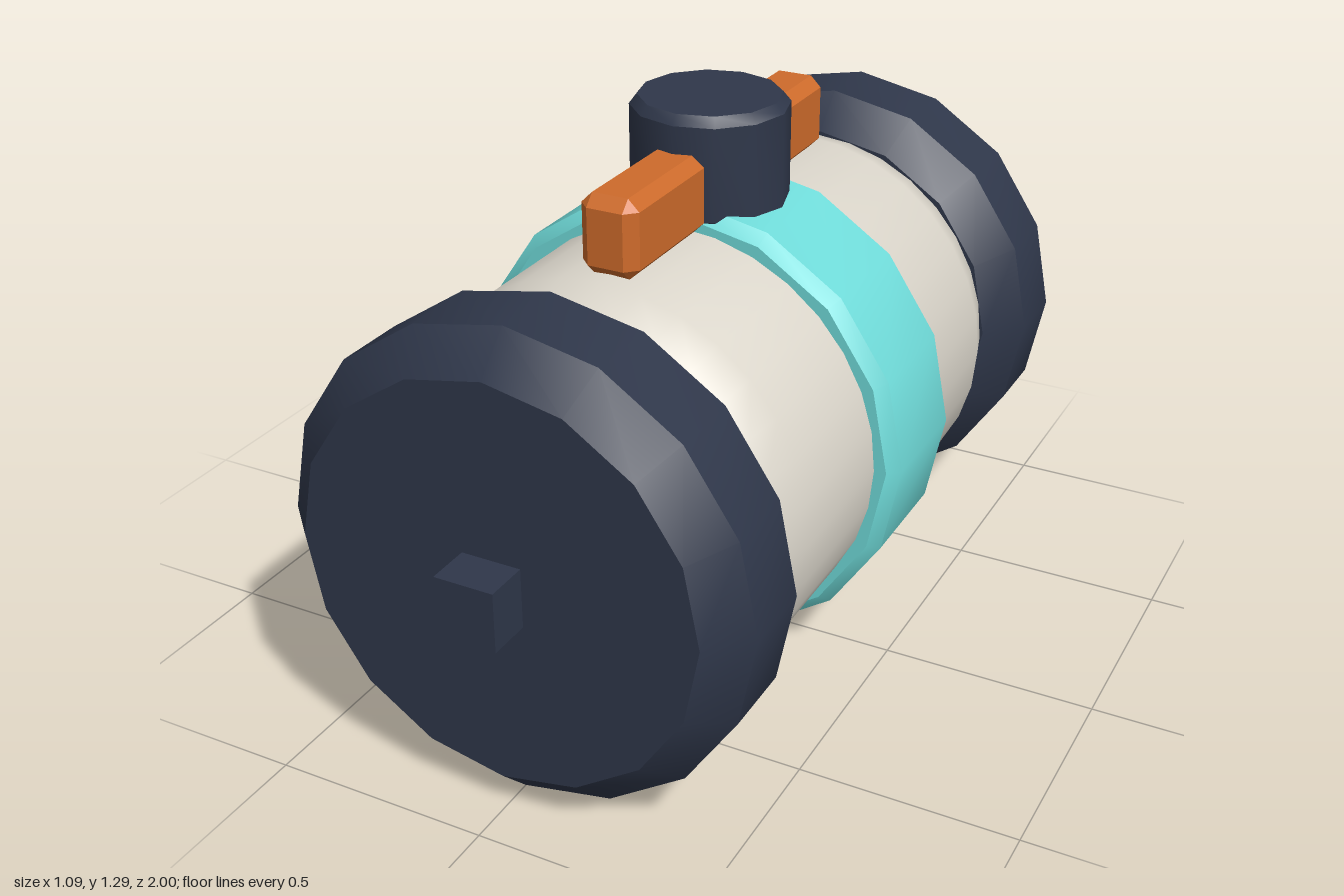
import * as THREE from 'three';
import { toCreasedNormals } from 'three/addons/utils/BufferGeometryUtils.js';
import { ConvexGeometry } from 'three/addons/geometries/ConvexGeometry.js';

const material = (name, color) => {
  const m = new THREE.MeshStandardMaterial({ color });
  m.name = name;
  return m;
};

const AXIS_Y = 0.546; // height of the barrel axis
const MID_Z = -0.047; // middle of the barrel

// Closed turned solid from [radius, height] pairs, listed bottom to top
function turned(profile, sides, crease = 0.52) {
  const pts = profile.map(([r, h]) => new THREE.Vector2(r, h));
  return toCreasedNormals(new THREE.LatheGeometry(pts, sides), crease);
}

// Cylinder profile with a chamfer at both ends
function chamfered(r, half, cr, ch) {
  return [[0, -half], [r - cr, -half], [r, -half + ch], [r, half - ch], [r - cr, half], [0, half]];
}

// Box with all edges chamfered
function chamferBox(w, h, d, c) {
  const pts = [];
  for (const x of [-1, 1]) for (const y of [-1, 1]) for (const z of [-1, 1]) {
    const [a, b, e] = [w / 2, h / 2, d / 2];
    pts.push(new THREE.Vector3(x * a, y * (b - c), z * (e - c)));
    pts.push(new THREE.Vector3(x * (a - c), y * b, z * (e - c)));
    pts.push(new THREE.Vector3(x * (a - c), y * (b - c), z * e));
  }
  return new ConvexGeometry(pts);
}

export function createModel() {
  const dark = material('dark navy', 0x2f374a);
  const ivory = material('warm ivory', 0xdbd6cb);
  const teal = material('aqua', 0x70dcda);
  const orange = material('orange', 0xce6b2b);

  const group = new THREE.Group();
  group.name = 'canister';
  const add = (name, geometry, mat, x, y, z) => {
    const mesh = new THREE.Mesh(geometry, mat);
    mesh.name = name;
    mesh.position.set(x, y, z);
    group.add(mesh);
    return mesh;
  };

  // Barrel lying along z, with softly rounded shoulders
  const barrel = [[0, -0.61], [0.44, -0.61], [0.465, -0.585], [0.49, -0.5],
    [0.49, 0.5], [0.465, 0.585], [0.44, 0.61], [0, 0.61]];
  add('barrel', turned(barrel, 32, 0.6).rotateX(Math.PI / 2), ivory, 0, AXIS_Y, MID_Z);

  // Heavy chamfered caps at both ends
  const cap = turned(chamfered(0.546, 0.17, 0.083, 0.083), 16).rotateX(Math.PI / 2);
  add('frontCap', cap, dark, 0, AXIS_Y, 0.73);
  add('backCap', cap, dark, 0, AXIS_Y, -0.83);

  // Central band
  const band = turned(chamfered(0.546, 0.163, 0.027, 0.027), 16).rotateX(Math.PI / 2);
  add('band', band, teal, 0, AXIS_Y, MID_Z);

  // Valve knob and the handle running through it
  const knob = turned(chamfered(0.18, 0.13, 0.018, 0.022), 12, 0.6);
  add('knob', knob, dark, 0, 1.165, MID_Z);
  add('handle', chamferBox(0.136, 0.18, 0.95, 0.026), orange, 0, 1.12, MID_Z);

  // Small square stud on the front cap
  add('stud', new THREE.BoxGeometry(0.136, 0.136, 0.14), dark, 0, AXIS_Y, 0.93);

  return group;
}
